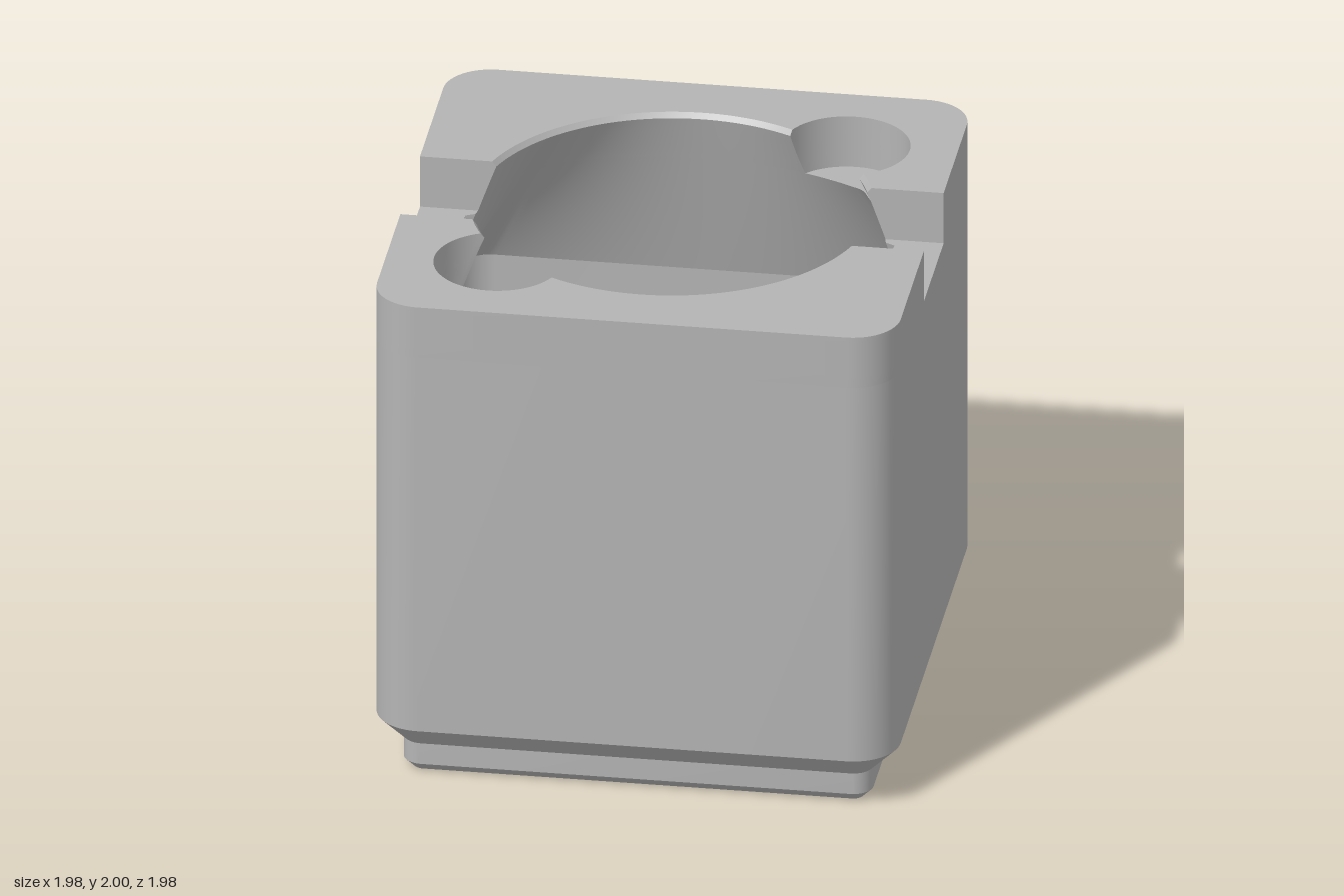
import * as THREE from 'three';
import { toCreasedNormals } from 'three/addons/utils/BufferGeometryUtils.js';

const TOP = 2, LEDGE = 1.79, RIM = 1.98, LOFT_END = 1.25, FLOOR = 0.33;
const HALF = 0.988, NOTCH = 0.24, RECESS_Z = 0.195, RECESS_X = 0.81;
const FINGER = { x: -0.57, z: 0.57, r: 0.24 };
const { lerp } = THREE.MathUtils;

const grey = new THREE.MeshStandardMaterial({ color: 0xb4b4b4 });
grey.name = 'plain grey';

// Corner points of a rounded square in (x, z); fewer corners give an open run
function roundedSquare(half, r, corners = 4, steps = 12) {
  const points = [];
  for (let q = 0; q < corners; q++) {
    const mid = (q + 0.5) * Math.PI / 2;
    const cx = Math.sign(Math.cos(mid)) * (half - r), cz = Math.sign(Math.sin(mid)) * (half - r);
    for (let i = 0; i <= steps; i++) {
      const a = (q + i / steps) * Math.PI / 2;
      points.push([cx + r * Math.cos(a), cz + r * Math.sin(a)]);
    }
  }
  return points;
}

// Cavity outline at height y: a circle at the rim blending into a rounded square
function cavityPoint(u, y) {
  const R = y > RIM ? lerp(0.74, 0.755, (y - RIM) / (TOP - RIM)) : 0.74;
  const t = THREE.MathUtils.clamp((RIM - y) / (RIM - LOFT_END), 0, 1);
  const H = 0.94, r = 0.13, phi = 0.75;
  const q = Math.floor(u + 0.4 + 1e-9), d = u - q;
  let a, sx, sz;
  if (d <= 0.4) {
    const f = d / 0.4;
    a = f * phi; sx = H; sz = f * (H - r);
  } else {
    const f = (d - 0.4) / 0.2;
    a = phi + f * (Math.PI / 2 - 2 * phi);
    sx = H - r + r * Math.cos(f * Math.PI / 2);
    sz = H - r + r * Math.sin(f * Math.PI / 2);
  }
  const x = lerp(R * Math.cos(a), sx, t), z = lerp(R * Math.sin(a), sz, t);
  const c = Math.cos(q * Math.PI / 2), s = Math.sin(q * Math.PI / 2);
  return [x * c - z * s, x * s + z * c];
}

// Parameter between a and b where test changes sign
function solve(test, a, b) {
  const sign = test(a) > 0;
  for (let i = 0; i < 40; i++) {
    const m = (a + b) / 2;
    if ((test(m) > 0) === sign) a = m; else b = m;
  }
  return (a + b) / 2;
}

function cavityRun(u0, u1, y, n) {
  return Array.from({ length: n + 1 }, (_, i) => cavityPoint(lerp(u0, u1, i / n), y));
}

// Where the cavity meets the notch walls and the finger hole
function crossings(y) {
  const notch = u => cavityPoint(u, y)[1] - NOTCH;
  const finger = u => {
    const [x, z] = cavityPoint(u, y);
    return Math.hypot(x - FINGER.x, z - FINGER.z) - FINGER.r;
  };
  return {
    notchA: solve(notch, 2, 1.5), notchB: solve(notch, 0, 0.5),
    fingerA: solve(finger, 1.5, 2), fingerB: solve(finger, 1.5, 1),
  };
}

function fingerArc(c, y, n = 40) {
  const angle = u => {
    const [x, z] = cavityPoint(u, y);
    const a = Math.atan2(z - FINGER.z, x - FINGER.x);
    return a < -Math.PI / 4 ? a + 2 * Math.PI : a;
  };
  const a0 = angle(c.fingerA), a1 = angle(c.fingerB);
  return Array.from({ length: n + 1 }, (_, i) => {
    const a = lerp(a0, a1, i / n);
    return [FINGER.x + FINGER.r * Math.cos(a), FINGER.z + FINGER.r * Math.sin(a)];
  });
}

// Outline of the raised front half of the rim
function rimOutline(y) {
  const c = crossings(y);
  return [
    [HALF, NOTCH], ...roundedSquare(HALF, 0.179, 2), [-HALF, NOTCH],
    ...cavityRun(c.notchA, c.fingerA, y, 8),
    ...fingerArc(c, y).slice(1, -1),
    ...cavityRun(c.fingerB, c.notchB, y, 40),
  ];
}

// Walls between loops [y, points]; rising loops face outward, falling inward
function walls(loops) {
  const n = loops[0][1].length, position = [], index = [];
  for (const [y, points] of loops) for (const [x, z] of points) position.push(x, y, z);
  for (let k = 0; k < loops.length - 1; k++) {
    for (let i = 0; i < n; i++) {
      const a = k * n + i, b = k * n + (i + 1) % n;
      index.push(a, a + n, b, b, a + n, b + n);
    }
  }
  return build(position, index);
}

function cap(points, y, up = true) {
  const outline = points.map(p => new THREE.Vector2(p[0], p[1]));
  const flip = THREE.ShapeUtils.isClockWise(outline);
  if (flip) outline.reverse();
  const position = outline.flatMap(p => [p.x, y, p.y]);
  const index = THREE.ShapeUtils.triangulateShape(outline, []).flatMap(([a, b, c]) => {
    const A = outline[a], B = outline[b], C = outline[c];
    const facesDown = (B.x - A.x) * (C.y - A.y) - (B.y - A.y) * (C.x - A.x) > 0;
    return facesDown === up ? [a, c, b] : [a, b, c];
  });
  return build(position, index);
}

function build(position, index) {
  const g = new THREE.BufferGeometry();
  g.setAttribute('position', new THREE.Float32BufferAttribute(position, 3));
  g.setIndex(index);
  return toCreasedNormals(g, 0.55);
}

export function createModel() {
  const model = new THREE.Group();
  model.name = 'storageBlock';
  const add = (name, geometry, parent = model) => {
    const mesh = new THREE.Mesh(geometry, grey);
    mesh.name = name;
    parent.add(mesh);
  };

  // Outer shell with the stepped, chamfered foot
  const foot = [[0, 0.848, 0.038], [0.038, 0.886, 0.076], [0.124, 0.886, 0.076],
    [0.226, HALF, 0.179], [LEDGE, HALF, 0.179]];
  add('outerShell', walls(foot.map(([y, h, r]) => [y, roundedSquare(h, r)])));
  add('underside', cap(roundedSquare(0.848, 0.038), 0, false));

  // Cavity below the ledge, with a shallow recess under each notch
  const recess = ([x, z]) => Math.abs(z) < RECESS_Z
    ? [Math.sign(x) * Math.max(Math.abs(x), RECESS_X), z] : [x, z];
  const N = 320;
  const loop = y => Array.from({ length: N }, (_, i) => {
    const p = cavityPoint(i * 4 / N, y);
    return Math.abs(p[0]) > 0.5 ? recess(p) : p;
  });
  const loftLoops = Array.from({ length: 13 }, (_, i) => {
    const y = lerp(LEDGE, LOFT_END, i / 12);
    return [y, loop(y)];
  });
  const pocket = roundedSquare(0.94, 0.13);
  add('cavityTransition', walls(loftLoops));
  add('pocketWalls', walls([[LOFT_END, pocket], [FLOOR, pocket]]));
  add('pocketFloor', cap(pocket, FLOOR));

  // Rim half, notch floor and finger hole floor, repeated by a half turn
  const c = crossings(LEDGE);
  const notchEdge = loop(LEDGE).filter(([x, z]) => x > 0.5 && Math.abs(z) < NOTCH)
    .sort((p, q) => p[1] - q[1]);
  const [edgeX] = cavityPoint(c.notchB, LEDGE);
  const notchFloor = [[HALF, NOTCH], [HALF, -NOTCH], [edgeX, -NOTCH], ...notchEdge, [edgeX, NOTCH]];
  const fingerFloor = [...fingerArc(c, LEDGE),
    ...cavityRun(c.fingerB, c.fingerA, LEDGE, 40).slice(1, -1)];
  const levels = [LEDGE, 1.84, 1.89, 1.94, RIM, TOP];
  for (const side of ['front', 'back']) {
    const half = new THREE.Group();
    half.name = side + 'Half';
    if (side === 'back') half.rotation.y = Math.PI;
    add('rimWalls', walls(levels.map(y => [y, rimOutline(y)])), half);
    add('rimTop', cap(rimOutline(TOP), TOP), half);
    add('notchFloor', cap(notchFloor, LEDGE), half);
    add('fingerHoleFloor', cap(fingerFloor, LEDGE), half);
    model.add(half);
  }
  return model;
}
